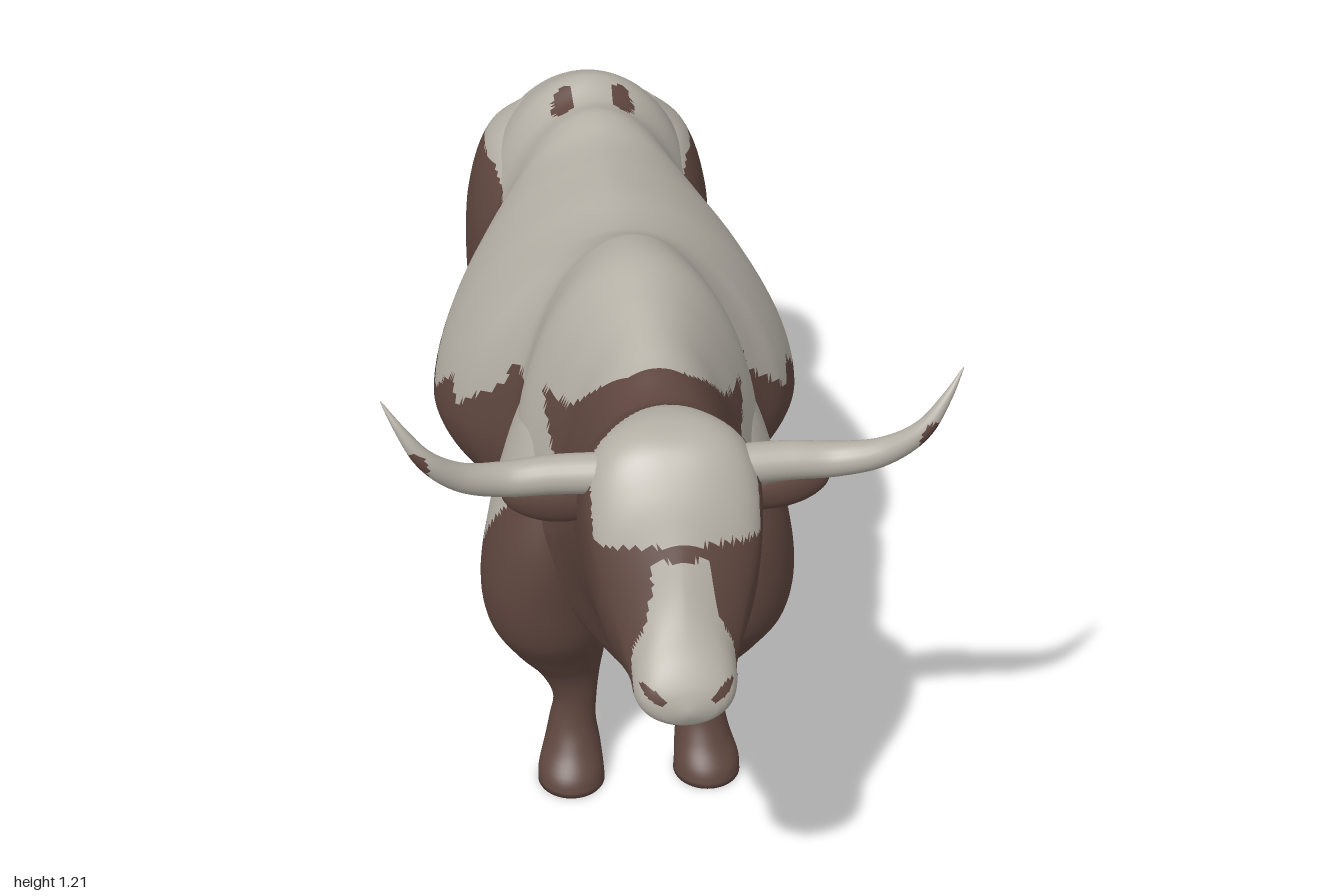
import * as THREE from 'three';

const brown = new THREE.MeshStandardMaterial({ color: 0x5f463f });
brown.name = 'brown hide';
const cream = new THREE.MeshStandardMaterial({ color: 0xb5b0a6 });
cream.name = 'cream hide';

// Smooth interpolation of a key table along its first column
function sample(keys, t) {
  let i = 0;
  while (i < keys.length - 2 && t > keys[i + 1][0]) i++;
  const a = keys[i], b = keys[i + 1], h = b[0] - a[0], u = (t - a[0]) / h;
  const p = keys[Math.max(i - 1, 0)], n = keys[Math.min(i + 2, keys.length - 1)];
  return a.map((v, k) => {
    const m0 = (b[k] - p[k]) / (b[0] - p[0]) * h, m1 = (n[k] - v) / (n[0] - a[0]) * h;
    return (2 * u ** 3 - 3 * u * u + 1) * v + (u ** 3 - 2 * u * u + u) * m0 +
      (3 * u * u - 2 * u ** 3) * b[k] + (u ** 3 - u * u) * m1;
  });
}

// Skin over closed rings of points, capped at both ends; isCream picks each face's colour
function skin(name, rings, isCream) {
  const n = rings[0].length, pts = rings.flat(), tris = [];
  for (let r = 0; r < rings.length - 1; r++)
    for (let j = 0; j < n; j++) {
      const a = r * n + j, b = r * n + (j + 1) % n;
      tris.push([a, b, a + n], [b, b + n, a + n]);
    }
  for (const r of [0, rings.length - 1]) {
    const c = new THREE.Vector3();
    rings[r].forEach((p) => c.addScaledVector(p, 1 / n));
    pts.push(c);
    for (let j = 0; j < n; j++) {
      const a = r * n + j, b = r * n + (j + 1) % n;
      tris.push(r ? [a, b, pts.length - 1] : [b, a, pts.length - 1]);
    }
  }
  // Turn faces outward whichever way the rings run
  const cross = new THREE.Vector3();
  let volume = 0;
  for (const [a, b, c] of tris) volume += pts[a].dot(cross.crossVectors(pts[b], pts[c]));
  if (volume < 0) tris.forEach((t) => t.reverse());

  const sets = [[], []], mid = new THREE.Vector3();
  for (const t of tris) {
    mid.copy(pts[t[0]]).add(pts[t[1]]).add(pts[t[2]]).divideScalar(3);
    sets[isCream(mid) ? 1 : 0].push(...t);
  }
  const geo = new THREE.BufferGeometry().setFromPoints(pts);
  geo.setIndex([...sets[0], ...sets[1]]);
  geo.addGroup(0, sets[0].length, 0);
  geo.addGroup(sets[0].length, sets[1].length, 1);
  geo.computeVertexNormals();
  const mesh = new THREE.Mesh(geo, [brown, cream]);
  mesh.name = name;
  return mesh;
}

// Trunk and head sections: z, top, bottom, half width, height of widest point
const TRUNK = [
  [-0.905, 0.84, 0.78, 0.02, 0.81], [-0.89, 0.90, 0.66, 0.11, 0.78], [-0.86, 0.945, 0.60, 0.17, 0.76],
  [-0.8, 1.01, 0.54, 0.21, 0.74], [-0.7, 1.06, 0.48, 0.225, 0.74], [-0.62, 1.09, 0.45, 0.22, 0.74],
  [-0.55, 1.065, 0.41, 0.21, 0.70], [-0.48, 1.075, 0.37, 0.225, 0.66], [-0.4, 1.055, 0.32, 0.285, 0.64],
  [-0.3, 1.055, 0.29, 0.335, 0.63], [-0.18, 1.06, 0.325, 0.36, 0.63], [-0.08, 1.06, 0.37, 0.35, 0.64],
  [0, 1.07, 0.4, 0.312, 0.66], [0.05, 1.09, 0.375, 0.262, 0.67], [0.1, 1.117, 0.355, 0.218, 0.68],
  [0.15, 1.14, 0.34, 0.215, 0.68], [0.25, 1.155, 0.33, 0.232, 0.68], [0.35, 1.135, 0.34, 0.205, 0.66],
  [0.42, 1.115, 0.33, 0.175, 0.68], [0.47, 1.1, 0.38, 0.165, 0.72], [0.52, 1.085, 0.45, 0.157, 0.76],
];
const HEAD = [
  [0.6, 1.068, 0.52, 0.152, 0.84], [0.66, 1.095, 0.56, 0.155, 0.9], [0.72, 1.105, 0.585, 0.155, 0.93],
  [0.78, 1.088, 0.60, 0.15, 0.93], [0.83, 1.03, 0.615, 0.137, 0.89], [0.87, 0.955, 0.63, 0.113, 0.82],
  [0.91, 0.875, 0.645, 0.092, 0.75], [0.95, 0.808, 0.655, 0.086, 0.725], [0.98, 0.765, 0.67, 0.071, 0.72],
  [0.995, 0.738, 0.685, 0.042, 0.712], [1, 0.72, 0.7, 0.01, 0.71],
];

const bell = (z, centre, spread) => Math.exp(-(((z - centre) / spread) ** 2));

function trunkRings(keys, rows, sides) {
  const z0 = keys[0][0], z1 = keys[keys.length - 1][0];
  return Array.from({ length: rows + 1 }, (_, r) => {
    const z = z0 + (z1 - z0) * r / rows;
    const [, top, bottom, w, mid] = sample(keys, z);
    // Roundness of the upper and lower half: lean flanks, sharp dewlap, broad forehead, narrow nose bridge
    const upper = 2 - 0.3 * bell(z, -0.2, 0.25) + 0.6 * bell(z, 0.74, 0.08) - 0.4 * bell(z, 0.9, 0.04);
    const lower = 2 - 0.4 * bell(z, -0.2, 0.25) - 0.6 * bell(z, 0.45, 0.12);
    return Array.from({ length: sides }, (_, j) => {
      const a = j / sides * Math.PI * 2, c = Math.cos(a), s = Math.sin(a), e = 2 / (s > 0 ? upper : lower);
      const up = Math.abs(s) ** e * (s > 0 ? top - mid : bottom - mid);
      return new THREE.Vector3(Math.sign(c) * Math.abs(c) ** e * w, mid + up, z);
    });
  });
}

// Legs with their muscle: y, x, z, half width, half depth
const FORELEG = [
  [0, 0.135, 0.29, 0.066, 0.07], [0.03, 0.135, 0.285, 0.064, 0.066], [0.07, 0.13, 0.26, 0.055, 0.06],
  [0.12, 0.128, 0.25, 0.046, 0.045], [0.18, 0.123, 0.25, 0.043, 0.038], [0.24, 0.133, 0.245, 0.06, 0.054],
  [0.3, 0.153, 0.24, 0.09, 0.09], [0.38, 0.175, 0.245, 0.112, 0.13], [0.48, 0.188, 0.255, 0.112, 0.14],
  [0.6, 0.185, 0.26, 0.1, 0.14], [0.72, 0.17, 0.25, 0.086, 0.125], [0.84, 0.155, 0.245, 0.06, 0.1],
  [0.94, 0.135, 0.24, 0.02, 0.04],
];
const HINDLEG = [
  [0, 0.14, -0.695, 0.062, 0.075], [0.03, 0.14, -0.705, 0.06, 0.07], [0.07, 0.14, -0.735, 0.05, 0.055],
  [0.12, 0.135, -0.765, 0.042, 0.042], [0.2, 0.135, -0.775, 0.042, 0.045], [0.28, 0.135, -0.775, 0.05, 0.058],
  [0.35, 0.14, -0.762, 0.062, 0.08], [0.45, 0.145, -0.735, 0.085, 0.11], [0.55, 0.15, -0.72, 0.105, 0.142],
  [0.67, 0.15, -0.708, 0.11, 0.17], [0.8, 0.15, -0.7, 0.1, 0.165], [0.92, 0.14, -0.7, 0.07, 0.12],
  [0.99, 0.12, -0.7, 0.02, 0.04],
];

// Rings stacked in y, used for legs and tail
function uprightRings(keys, side, rows, sides) {
  const y0 = keys[0][0], y1 = keys[keys.length - 1][0];
  return Array.from({ length: rows + 1 }, (_, r) => {
    const [y, x, z, rx, rz] = sample(keys, y0 + (y1 - y0) * r / rows);
    return Array.from({ length: sides }, (_, j) => {
      const a = j / sides * Math.PI * 2;
      return new THREE.Vector3(side * (x + rx * Math.cos(a)), y, z + rz * Math.sin(a));
    });
  });
}

// Hide markings, outlined as [z, y]
const BLANKET = [
  [0.52, 1.3], [0.52, 1.07], [0.45, 0.99], [0.41, 0.95], [0.32, 0.93], [0.4, 0.84], [0.39, 0.75], [0.33, 0.69],
  [0.25, 0.56], [0.17, 0.73], [0.14, 0.82], [0.07, 0.84], [0.07, 0.79], [-0.02, 0.69], [-0.05, 0.74], [-0.14, 0.66],
  [-0.26, 0.76], [-0.33, 0.69], [-0.34, 0.76], [-0.47, 0.79], [-0.55, 0.85], [-0.61, 0.9], [-0.8, 0.92],
  [-0.87, 0.86], [-1, 0.8], [-1, 1.3],
];
const STRIPE = [[-0.825, 0.9], [-0.87, 0.89], [-0.825, 0.58], [-0.81, 0.565], [-0.775, 0.57]];

function inside(poly, z, y) {
  let hit = false;
  poly.forEach(([z1, y1], i) => {
    const [z2, y2] = poly[(i + 1) % poly.length];
    if ((y1 > y) !== (y2 > y) && z < z1 + (z2 - z1) * (y - y1) / (y2 - y1)) hit = !hit;
  });
  return hit;
}
function hide({ x, y, z }) {
  const rumpSpot = y > 0.95 && Math.hypot((Math.abs(x) - 0.06) / 0.023, (z + 0.567) / 0.036) < 1;
  return !rumpSpot && (inside(BLANKET, z, y) || inside(STRIPE, z, y));
}
// Nose blaze: height, half width
const BLAZE = [[0.66, 0.075], [0.7, 0.085], [0.78, 0.085], [0.84, 0.06], [0.94, 0.045]];
function face({ x, y, z }) {
  const ax = Math.abs(x);
  if (y > 0.958 - ax * 0.12) return ax < 0.14 && ax < (z - 0.625) * 1.4;
  const nostril = Math.hypot((ax - 0.058) / 0.02, (y - 0.738 - (ax - 0.058) * 0.5) / 0.01) < 1;
  return z > 0.86 && y < 0.932 && y > 0.675 && !nostril && ax < sample(BLAZE, y)[1];
}

// Horn: swept curve tapering to a point
function horn(side) {
  const curve = new THREE.CatmullRomCurve3([
    [0.1, 1.02, 0.735], [0.2, 1.02, 0.73], [0.28, 1.02, 0.735], [0.35, 1.045, 0.76],
    [0.41, 1.1, 0.785], [0.45, 1.16, 0.78], [0.477, 1.205, 0.765],
  ].map(([x, y, z]) => new THREE.Vector3(side * x, y, z)));
  const rows = 48, frames = curve.computeFrenetFrames(rows);
  const rings = Array.from({ length: rows + 1 }, (_, r) => {
    const t = r / rows, p = curve.getPointAt(t), radius = 0.001 + 0.034 * (1 - t ** 2);
    return Array.from({ length: 20 }, (_, j) => {
      const a = j / 20 * Math.PI * 2;
      return p.clone().addScaledVector(frames.normals[r], radius * Math.cos(a))
        .addScaledVector(frames.binormals[r], radius * Math.sin(a));
    });
  });
  return skin('horn', rings, ({ x, y }) => Math.hypot((Math.abs(x) - 0.425) / 0.02, (y - 1.085) / 0.035) > 1);
}

export function createModel() {
  const bull = new THREE.Group();
  bull.name = 'bull';
  bull.add(skin('bodyAndHead', trunkRings([...TRUNK, ...HEAD], 290, 110), (p) => (p.z > 0.575 ? face(p) : hide(p))));

  for (const side of [-1, 1]) {
    bull.add(skin('frontLeg', uprightRings(FORELEG, side, 100, 64), hide));
    bull.add(skin('hindLeg', uprightRings(HINDLEG, side, 100, 64), hide));
    bull.add(horn(side));

    const ear = new THREE.Mesh(new THREE.SphereGeometry(1, 24, 16), brown);
    ear.name = 'ear';
    ear.scale.set(0.088, 0.046, 0.03);
    ear.position.set(side * 0.195, 0.935, 0.672);
    ear.rotation.z = side * 0.2;
    bull.add(ear);
  }

  // Tail and its brush
  const TAIL = [[0.5, 0, -0.948, 0.016, 0.016], [0.6, 0, -0.942, 0.018, 0.016], [0.72, 0, -0.926, 0.022, 0.02],
    [0.82, 0, -0.903, 0.03, 0.028], [0.89, 0, -0.865, 0.042, 0.042], [0.94, 0, -0.79, 0.04, 0.03]];
  const BRUSH = [[0.21, 0, -0.995, 0.003, 0.003], [0.28, 0, -0.972, 0.028, 0.022], [0.36, 0, -0.955, 0.046, 0.036],
    [0.43, 0, -0.948, 0.045, 0.036], [0.49, 0, -0.946, 0.028, 0.024], [0.53, 0, -0.946, 0.015, 0.015]];
  bull.add(skin('tail', uprightRings(TAIL, 1, 40, 20), ({ y }) => y > 0.55));
  bull.add(skin('tailBrush', uprightRings(BRUSH, 1, 30, 24), () => false));

  // Small fold under the rear of the belly
  const fold = new THREE.Mesh(new THREE.SphereGeometry(1, 16, 12), brown);
  fold.name = 'bellyFold';
  fold.scale.set(0.04, 0.06, 0.03);
  fold.position.set(0, 0.455, -0.575);
  bull.add(fold);
  return bull;
}
